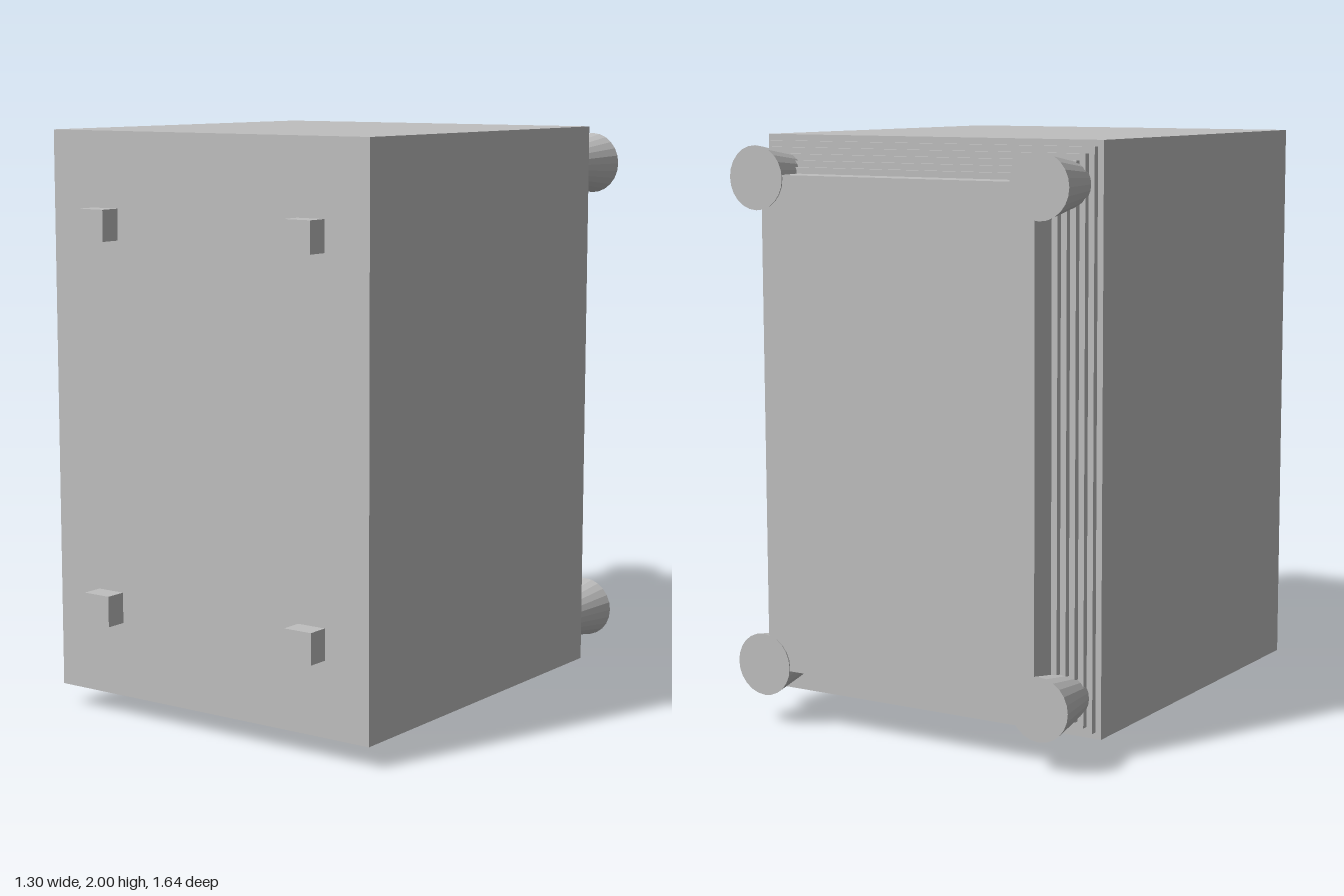
import * as THREE from 'three';

export function createModel() {
  const group = new THREE.Group();
  const grey = new THREE.MeshStandardMaterial({ color: 0xbfbfbf, flatShading: true });
  grey.name = 'grey';

  // Box given by its limits on each axis
  const box = (name, x0, x1, y0, y1, z0, z1) => {
    const mesh = new THREE.Mesh(new THREE.BoxGeometry(x1 - x0, y1 - y0, z1 - z0), grey);
    mesh.position.set((x0 + x1) / 2, (y0 + y1) / 2, (z0 + z1) / 2);
    mesh.name = name;
    group.add(mesh);
  };

  const midY = 1.0375, halfX = 0.65, halfY = 0.9625, backZ = -0.605;

  // Main cabinet
  box('cabinet', -halfX, halfX, midY - halfY, midY + halfY, backZ, 0.745);

  // Stepped tiers on the back, ending in a thick slab
  const step = 0.021;
  for (let i = 1; i <= 6; i++) {
    const hx = halfX - i * step, hy = halfY - i * step;
    const z1 = backZ - (i - 1) * step;
    const z0 = i === 6 ? -0.815 : z1 - step;
    box(i === 6 ? 'backSlab' : 'backTier', -hx, hx, midY - hy, midY + hy, z0, z1);
  }

  // Four flared feet on the back corners and four square pegs on the front
  for (const sx of [-1, 1]) {
    for (const sy of [-1, 1]) {
      const foot = new THREE.Mesh(new THREE.CylinderGeometry(0.073, 0.107, 0.2, 24), grey);
      foot.rotation.x = Math.PI / 2;
      foot.position.set(sx * 0.543, midY + sy * 0.825, -0.72);
      foot.name = 'backFoot';
      group.add(foot);

      const px = sx * 0.425, py = midY + sy * 0.653;
      box('frontPeg', px - 0.053, px + 0.053, py - 0.053, py + 0.053, 0.745, 0.82);
    }
  }

  // Underside plate with slats and a raised block
  box('basePlate', -0.552, 0.552, 0.05, 0.075, -0.5, 0.63);
  for (let i = 0; i < 5; i++) {
    const z = -0.117 - i * 0.0745;
    box('baseSlat', -0.41, 0.41, 0.024, 0.05, z - 0.016, z + 0.016);
  }
  box('baseBlock', 0.365, 0.425, 0, 0.05, -0.015, 0.29);

  return group;
}
